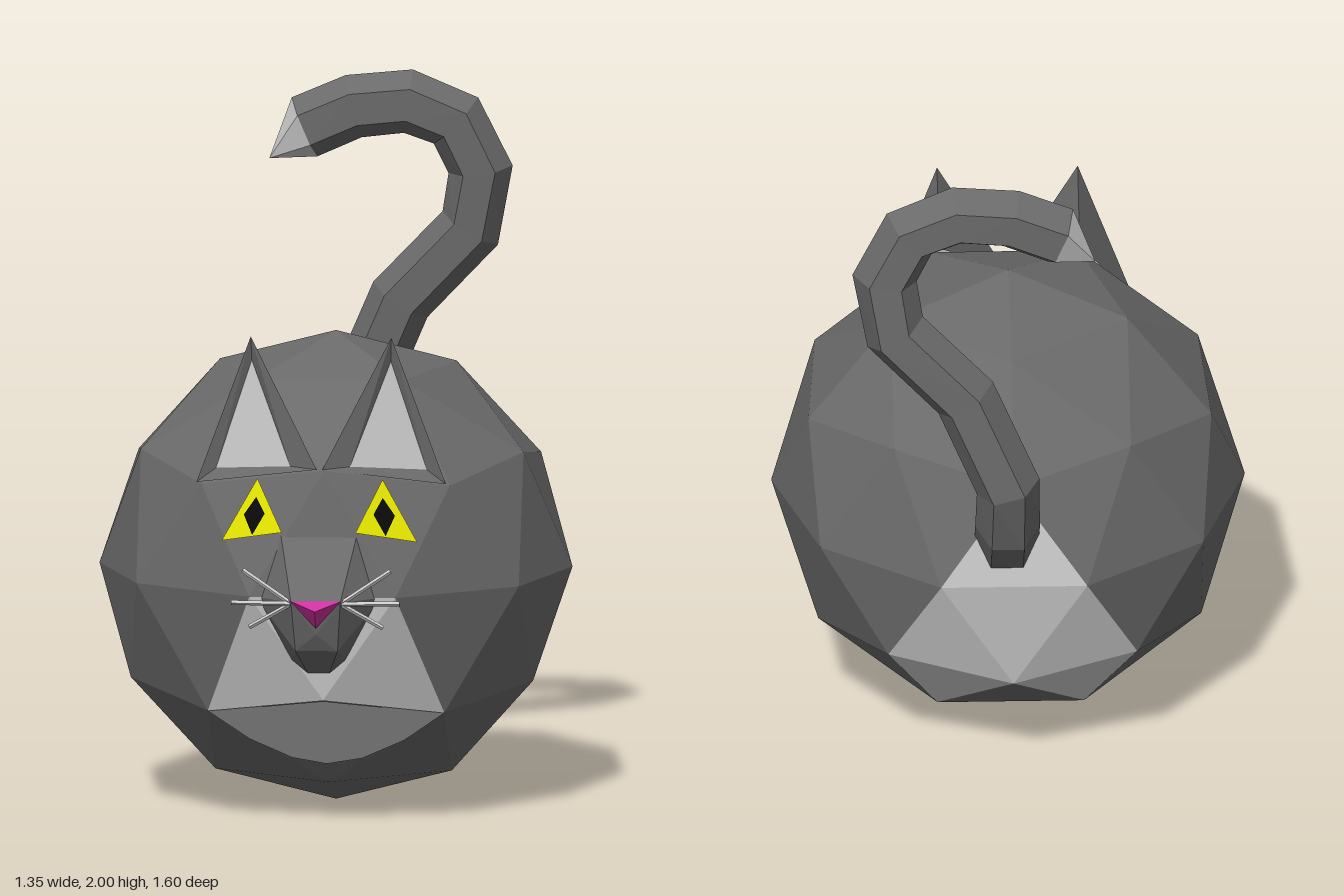
import * as THREE from 'three';
import { ConvexGeometry } from 'three/addons/geometries/ConvexGeometry.js';

const mat = (color) => new THREE.MeshStandardMaterial({ color, flatShading: true, side: THREE.DoubleSide });
const fur = mat(0x6a6a6a), pale = mat(0xcccccc), yellow = mat(0xe6e600), black = mat(0x0a0a0a), pink = mat(0xd030a0);
const R = 0.673, FACE_X = -0.012;

// Geometry from a flat list of corner points, three per triangle
function triangles(points) {
  const g = new THREE.BufferGeometry();
  g.setAttribute('position', new THREE.Float32BufferAttribute(points.flat(), 3));
  g.computeVertexNormals();
  return g;
}
// Fan of triangles around the first point
const fan = (p) => triangles(p.slice(2).flatMap((q, i) => [p[0], p[i + 1], q]));
const hull = (p) => new ConvexGeometry(p.map((q) => new THREE.Vector3(...q)));

function add(parent, name, geometry, material) {
  const mesh = new THREE.Mesh(geometry, material);
  mesh.name = name;
  parent.add(mesh);
  return mesh;
}

// Round faceted body, with pale facets on chest and rump
function addBody(parent) {
  const ball = new THREE.IcosahedronGeometry(R, 1);
  ball.rotateZ(-Math.atan(2 / (1 + Math.sqrt(5)))).rotateY(Math.PI / 2).translate(0, R, 0);
  const pos = ball.attributes.position, dark = [], light = [];
  for (let i = 0; i < pos.count; i += 3) {
    const t = [0, 1, 2].map((k) => [pos.getX(i + k), pos.getY(i + k), pos.getZ(i + k)]);
    const [x, y, z] = [0, 1, 2].map((a) => (t[0][a] + t[1][a] + t[2][a]) / 3);
    const chest = z > 0.54 && y > 0.4 && y < 0.65;
    const rump = z < -0.42 && y > 0.2 && y < 0.8;
    (Math.abs(x) < 0.2 && (chest || rump) ? light : dark).push(...t);
  }
  add(parent, 'body', triangles(dark), fur);
  add(parent, 'chestAndRumpPatches', triangles(light), pale);
  // Rounded lower edge of the chest patch
  const belly = fan([[0, 0.373, 0.602], [-0.335, 0.32, 0.46], [-0.22, 0.235, 0.414], [-0.1, 0.18, 0.397],
    [0, 0.165, 0.411], [0.1, 0.18, 0.397], [0.22, 0.235, 0.414], [0.335, 0.32, 0.46]]);
  add(parent, 'bellyPatch', belly.translate(0, -0.003, 0.005), pale);
}

// Hollow ear, eye and whiskers for one side (s = 1 left, -1 right)
function addFaceSide(parent, s) {
  const m = (p) => p.map(([x, y, z]) => (s > 0 ? [x, y, z] : [-x, y, z]));
  const oriented = (t) => (s > 0 ? t : t.flatMap((_, i) => (i % 3 ? [] : [t[i], t[i + 2], t[i + 1]])));
  const side = new THREE.Group();
  side.name = s > 0 ? 'leftFaceSide' : 'rightFaceSide';
  parent.add(side);

  const [T, O, I, B] = m([[0.2, 1.4, 0.5], [0.355, 0.98, 0.495], [0.008, 1.03, 0.575], [0.2, 1.25, 0.3]]);
  const [t, o, i] = m([[0.198, 1.33, 0.485], [0.3, 1.02, 0.485], [0.085, 1.035, 0.545]]);
  add(side, 'ear', triangles(oriented([T, O, B, T, B, I,
    T, t, o, T, o, O, T, I, i, T, i, t, I, O, o, I, o, i])), fur);
  add(side, 'innerEar', triangles(oriented([t, i, o])), pale);

  add(side, 'eye', triangles(oriented(m([[0.178, 1.0, 0.55], [0.105, 0.855, 0.616], [0.278, 0.825, 0.576]]))), yellow);
  const [a, b, c, d] = m([[0.18, 0.95, 0.571], [0.155, 0.905, 0.592], [0.19, 0.845, 0.601], [0.215, 0.9, 0.577]]);
  add(side, 'pupil', triangles(oriented([a, b, c, a, c, d])), black);

  const root = new THREE.Vector3(s * 0.07, 0.67, 0.745);
  for (const [x, y, z] of [[0.21, 0.76, 0.71], [0.24, 0.675, 0.765], [0.19, 0.6, 0.73]]) {
    const end = new THREE.Vector3(s * x, y, z), dir = end.clone().sub(root);
    const w = add(side, 'whisker', new THREE.CylinderGeometry(0.007, 0.007, dir.length(), 4), pale);
    w.position.copy(root).add(end).multiplyScalar(0.5);
    w.quaternion.setFromUnitVectors(new THREE.Vector3(0, 1, 0), dir.normalize());
  }
}

function addMuzzle(parent) {
  const pair = (x, y, z) => [[x, y, z], [-x, y, z]];
  add(parent, 'muzzle', hull([...pair(0.11, 0.855, 0.595), ...pair(0.18, 0.67, 0.615), ...pair(0.07, 0.675, 0.757),
    ...pair(0.06, 0.53, 0.715), [0, 0.58, 0.74], ...pair(0.075, 0.49, 0.62), ...pair(0.03, 0.45, 0.61),
    ...pair(0.1, 0.8, 0.5), [0, 0.5, 0.5]]), fur);
  add(parent, 'nose', hull([...pair(0.072, 0.679, 0.757), [0, 0.6, 0.75], [0, 0.655, 0.8], [0, 0.65, 0.7]]), pink);
}

// Six-sided curled tail, lofted ring by ring, with a pale pointed tip
function addTail(parent) {
  const path = [[0.02, 0.77, -0.56], [0.02, 0.89, -0.67], [0.02, 1.05, -0.725], [0.14, 1.33, -0.705], [0.34, 1.54, -0.69],
    [0.37, 1.71, -0.68], [0.3, 1.85, -0.675], [0.165, 1.905, -0.67], [0.01, 1.89, -0.665], [-0.13, 1.83, -0.66]]
    .map((p) => new THREE.Vector3(...p));
  const rings = path.map((p, k) => {
    const before = path[Math.max(k - 1, 0)], after = path[Math.min(k + 1, path.length - 1)];
    const t = after.clone().sub(before).normalize();
    const n = new THREE.Vector3(0, 0, 1).addScaledVector(t, -t.z).normalize();
    const b = t.clone().cross(n);
    return Array.from({ length: 6 }, (_, j) => {
      const a = (j * Math.PI) / 3;
      return p.clone().addScaledVector(b, 0.092 * Math.cos(a)).addScaledVector(n, 0.092 * Math.sin(a)).toArray();
    });
  });
  const sides = [], tip = [], apex = [-0.23, 1.74, -0.655], last = rings.length - 1;
  for (let j = 0; j < 6; j++) {
    const k = (j + 1) % 6;
    for (let r = 0; r < last; r++) {
      const A = rings[r], B = rings[r + 1];
      sides.push(A[j], B[k], A[k], A[j], B[j], B[k]);
    }
    sides.push(path[0].toArray(), rings[0][j], rings[0][k]);
    tip.push(rings[last][j], apex, rings[last][k]);
  }
  // Corner order faces outward
  const flip = (t) => t.flatMap((_, i) => (i % 3 ? [] : [t[i], t[i + 2], t[i + 1]]));
  add(parent, 'tail', triangles(flip(sides)), fur);
  add(parent, 'tailTip', triangles(flip(tip)), pale);
}

export function createModel() {
  const model = new THREE.Group();
  model.name = 'roundCat';
  addBody(model);
  const face = new THREE.Group();
  face.name = 'face';
  face.position.x = FACE_X;
  model.add(face);
  addFaceSide(face, 1);
  addFaceSide(face, -1);
  addMuzzle(face);
  addTail(model);
  return model;
}
